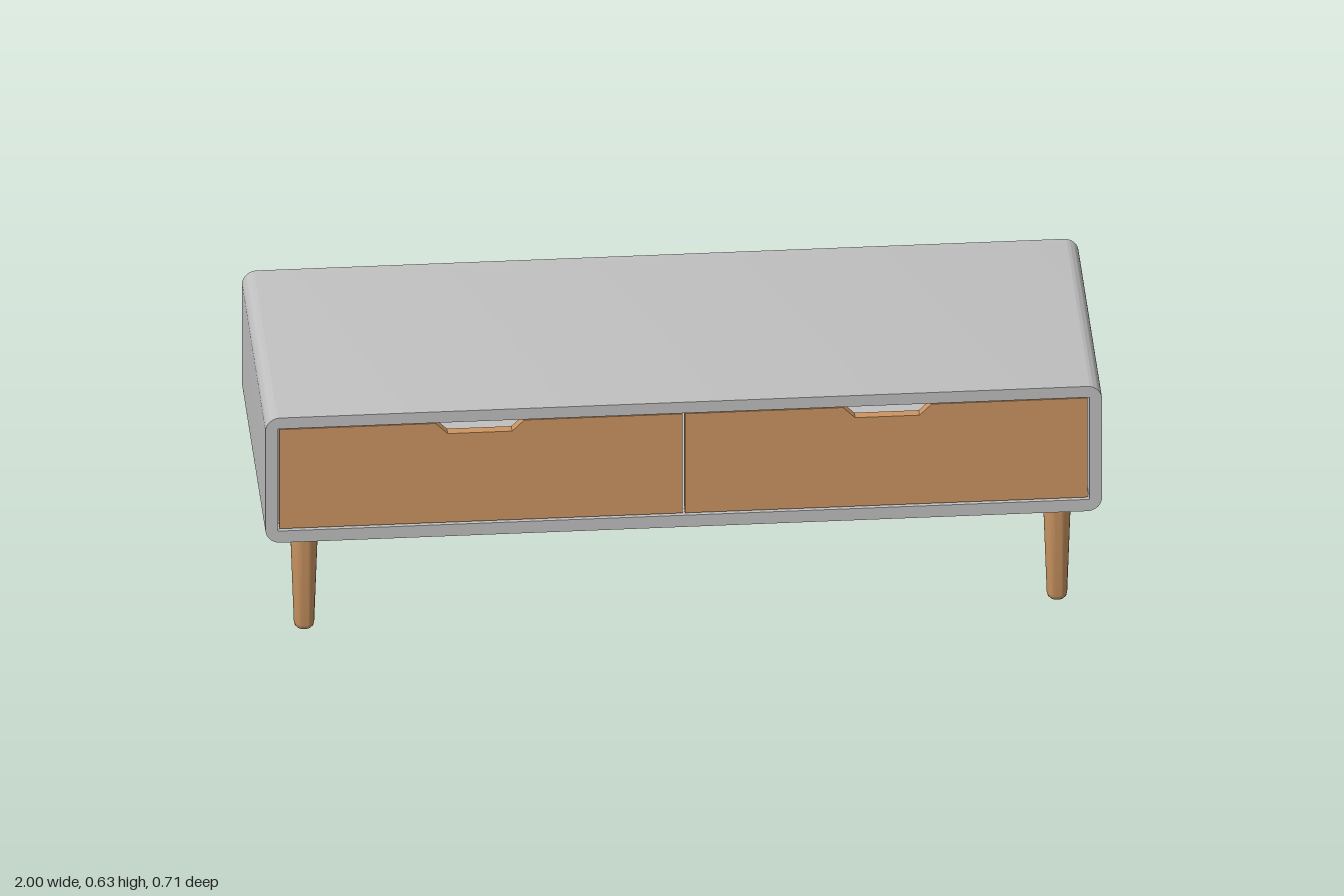
import * as THREE from 'three';
import { toCreasedNormals } from 'three/addons/utils/BufferGeometryUtils.js';

const W = 1, BOTTOM = 0.288, TOP = 0.63, D = 0.356; // half width, heights, half depth
const BACK = 0.02; // back panel thickness
const OPEN = { x: 0.97, y0: 0.32, y1: 0.6 }; // front opening

function roundedRect(x0, y0, x1, y1, r) {
  const s = new THREE.Shape();
  s.moveTo(x0 + r, y0);
  s.lineTo(x1 - r, y0);
  s.absarc(x1 - r, y0 + r, r, -Math.PI / 2, 0);
  s.lineTo(x1, y1 - r);
  s.absarc(x1 - r, y1 - r, r, 0, Math.PI / 2);
  s.lineTo(x0 + r, y1);
  s.absarc(x0 + r, y1 - r, r, Math.PI / 2, Math.PI);
  s.lineTo(x0, y0 + r);
  s.absarc(x0 + r, y0 + r, r, Math.PI, Math.PI * 1.5);
  return s;
}

function extrude(shape, depth, z) {
  const g = new THREE.ExtrudeGeometry(shape, { depth, bevelEnabled: false, curveSegments: 10 });
  g.translate(0, 0, z);
  return toCreasedNormals(g, 0.6);
}

export function createModel() {
  const model = new THREE.Group();
  const grey = new THREE.MeshStandardMaterial({ color: 0xc0c0c0 });
  grey.name = 'greyLacquer';
  const wood = new THREE.MeshStandardMaterial({ color: 0xcb9562 });
  wood.name = 'warmWood';

  const add = (name, geometry, material) => {
    const mesh = new THREE.Mesh(geometry, material);
    mesh.name = name;
    model.add(mesh);
    return mesh;
  };

  // Hollow cabinet shell with rounded long edges, closed by a back panel
  const shell = roundedRect(-W, BOTTOM, W, TOP, 0.036);
  shell.holes.push(new THREE.Path([
    new THREE.Vector2(-OPEN.x, OPEN.y0), new THREE.Vector2(-OPEN.x, OPEN.y1),
    new THREE.Vector2(OPEN.x, OPEN.y1), new THREE.Vector2(OPEN.x, OPEN.y0),
  ]));
  add('cabinetShell', extrude(shell, 2 * D - BACK, -D + BACK), grey);
  add('backPanel', extrude(roundedRect(-W, BOTTOM, W, TOP, 0.036), BACK, -D), grey);

  // Two drawer fronts with a tapered finger notch in the top edge
  const gap = 0.004, cx = 0.487;
  const y0 = OPEN.y0 + gap, y1 = OPEN.y1 - gap, notchY = 0.567;
  const x0 = gap / 2 + 0.001, x1 = OPEN.x - gap;
  for (const side of [-1, 1]) {
    const points = [
      [x0, y0], [x1, y0], [x1, y1],
      [cx + 0.106, y1], [cx + 0.077, notchY], [cx - 0.077, notchY], [cx - 0.106, y1],
      [x0, y1],
    ].map(([x, y]) => new THREE.Vector2(side * x, y));
    add(side < 0 ? 'rightDrawerFront' : 'leftDrawerFront',
      extrude(new THREE.Shape(points), 0.024, D - 0.028), wood);
  }

  // Four tapered round legs with softened feet
  const profile = [
    [0, 0], [0.012, 0], [0.018, 0.002], [0.0225, 0.007], [0.0245, 0.016],
    [0.034, BOTTOM], [0, BOTTOM],
  ].map(([r, y]) => new THREE.Vector2(r, y));
  const legGeometry = toCreasedNormals(new THREE.LatheGeometry(profile, 32), 0.7);
  for (const x of [-0.9, 0.9]) {
    for (const z of [-0.257, 0.257]) {
      const name = (z > 0 ? 'front' : 'back') + (x > 0 ? 'Left' : 'Right') + 'Leg';
      add(name, legGeometry, wood).position.set(x, 0, z);
    }
  }
  return model;
}
